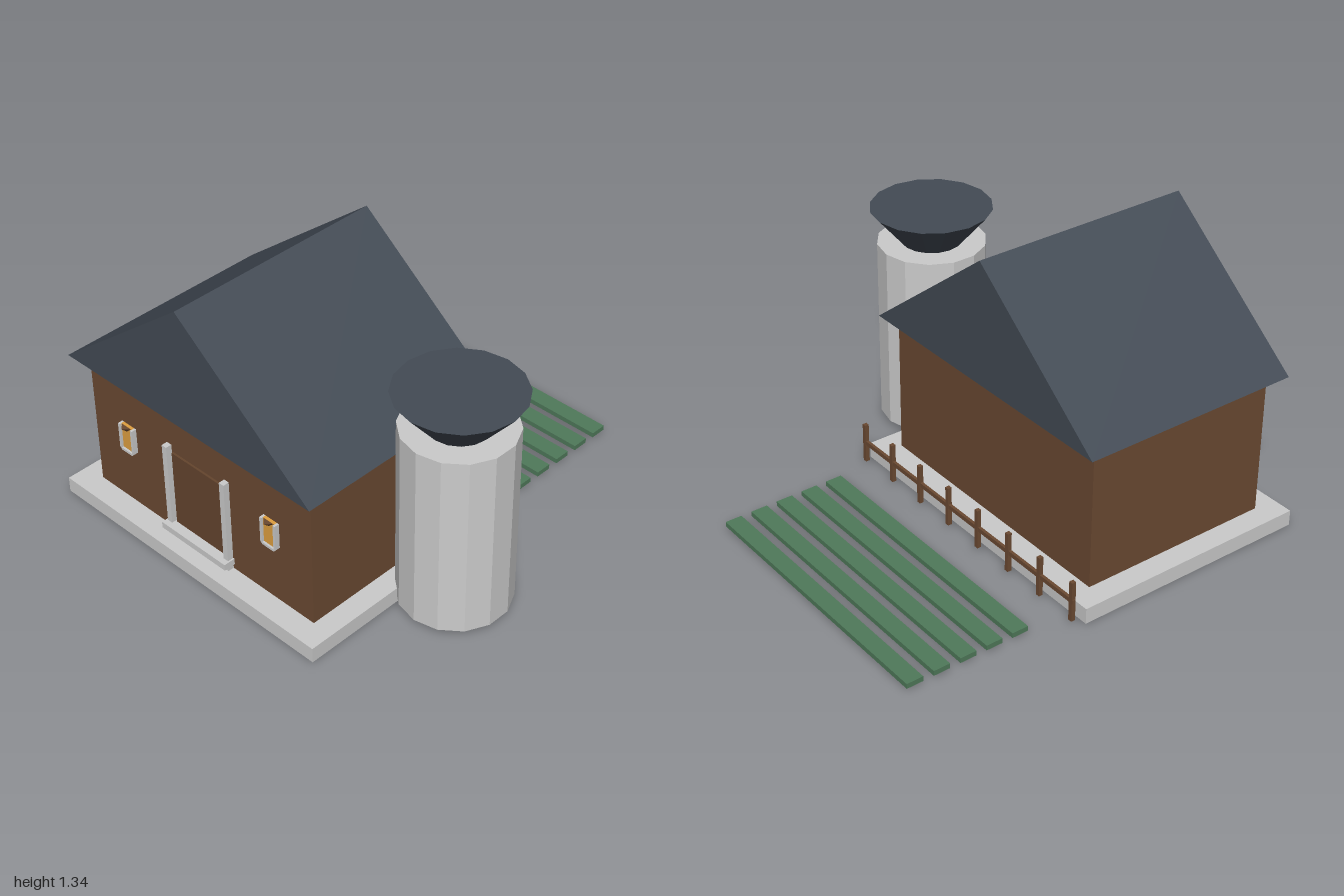
import * as THREE from 'three';

const mat = (color) => new THREE.MeshStandardMaterial({ color, flatShading: true });

export function createModel() {
  const model = new THREE.Group();
  model.name = 'farmstead';
  const stone = mat(0xcccccc), wood = mat(0x6b4a32), doorWood = mat(0x65452e);
  const slate = mat(0x434b55), crop = mat(0x4f7a5a), glow = mat(0xe0a040);
  const midX = -0.22; // centre line of the barn

  const add = (name, geometry, material, parent = model) => {
    const mesh = new THREE.Mesh(geometry, material);
    mesh.name = name;
    parent.add(mesh);
    return mesh;
  };
  // Box given by its limits on each axis
  const box = (name, material, [x0, x1], [y0, y1], [z0, z1], parent) => {
    const mesh = add(name, new THREE.BoxGeometry(x1 - x0, y1 - y0, z1 - z0), material, parent);
    mesh.position.set((x0 + x1) / 2, (y0 + y1) / 2, (z0 + z1) / 2);
    return mesh;
  };

  // Barn body on its slab
  box('foundation', stone, [-1, 0.56], [0, 0.075], [-0.165, 1]);
  box('walls', wood, [-0.893, 0.457], [0.075, 0.76], [-0.06, 0.89]);

  // Gable roof, a triangular prism
  const gable = new THREE.Shape();
  gable.moveTo(-0.738, 0.757);
  gable.lineTo(0.738, 0.757);
  gable.lineTo(0, 1.343);
  gable.closePath();
  add('roof', new THREE.ExtrudeGeometry(gable, { depth: 1.08, bevelEnabled: false }), slate)
    .position.set(midX, 0, -0.125);

  // Door with side posts and a low bar
  const door = new THREE.Group();
  door.name = 'door';
  model.add(door);
  box('doorPanel', doorWood, [midX - 0.155, midX + 0.15], [0.075, 0.513], [0.88, 0.9], door);
  for (const s of [-1, 1]) {
    const x = midX + s * 0.178;
    box('doorPost', stone, [x - 0.014, x + 0.014], [0.075, 0.547], [0.88, 0.92], door);
  }
  box('doorBar', stone, [midX - 0.2, midX + 0.2], [0.1, 0.131], [0.885, 0.947], door);

  // Windows: glowing pane, chamfered U-shaped frame and a small pointed hood
  const outline = [
    [-0.045, 0.14], [-0.045, 0.012], [-0.033, 0], [0.033, 0], [0.045, 0.012], [0.045, 0.14],
    [0.033, 0.14], [0.033, 0.012], [-0.033, 0.012], [-0.033, 0.14],
  ];
  const frame = new THREE.Shape(outline.map(([x, y]) => new THREE.Vector2(x, y)));
  for (const s of [-1, 1]) {
    const win = new THREE.Group();
    win.name = s < 0 ? 'rightWindow' : 'leftWindow';
    win.position.set(midX + s * 0.443, 0.36, 0.885);
    model.add(win);
    add('windowFrame', new THREE.ExtrudeGeometry(frame, { depth: 0.03, bevelEnabled: false }), stone, win);
    box('windowPane', glow, [-0.034, 0.034], [0.01, 0.14], [0, 0.02], win);
    add('windowHood', new THREE.CylinderGeometry(0.037, 0, 0.035, 4), wood, win)
      .position.set(0, 0.122, 0.012);
  }

  // Silo with a flared funnel on top
  add('silo', new THREE.CylinderGeometry(0.253, 0.253, 0.89, 14), stone).position.set(0.712, 0.48, 0.308);
  add('siloFunnel', new THREE.CylinderGeometry(0.283, 0.14, 0.17, 16), slate).position.set(0.712, 1.01, 0.308);

  // Back fence
  const fence = new THREE.Group();
  fence.name = 'fence';
  model.add(fence);
  box('fenceRail', wood, [midX - 0.757, midX + 0.757], [0.108, 0.129], [-0.218, -0.204], fence);
  for (let i = 0; i < 8; i++) {
    const x = midX - 0.743 + (i * 1.486) / 7;
    box('fencePost', wood, [x - 0.01, x + 0.01], [0.02, 0.214], [-0.221, -0.201], fence);
  }

  // Crop rows behind the fence
  for (let i = 0; i < 5; i++) {
    const z = -0.433 - i * 0.1315;
    box('cropRow', crop, [-0.905, 0.466], [0.013, 0.037], [z - 0.04, z + 0.04]);
  }
  return model;
}
